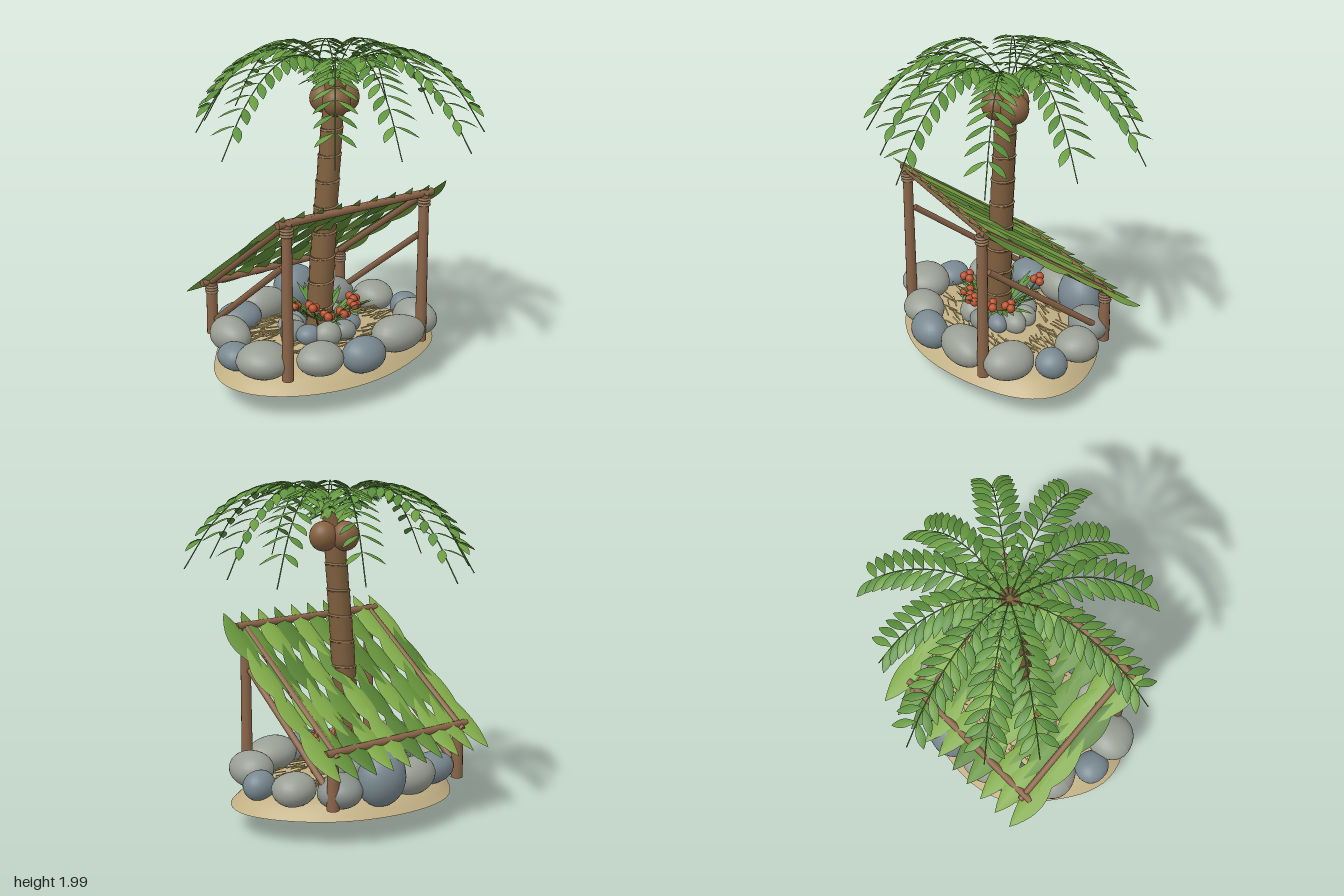
import * as THREE from 'three';
import { mergeGeometries } from 'three/addons/utils/BufferGeometryUtils.js';

const V = (x, y, z) => new THREE.Vector3(x, y, z);
const mat = (color, side = THREE.FrontSide) => new THREE.MeshStandardMaterial({ color, side });
const M = {
  sand: mat(0xc2b085, THREE.DoubleSide), straw: mat(0xd8be7a), bark: mat(0x80603f), ring: mat(0xa5835c),
  wood: mat(0x8a6448), rope: mat(0x8f7355), nut: mat(0x85603f), fruit: mat(0xb4512f),
  stone: [mat(0x9a9f95), mat(0x798890), mat(0x8a918d)],
  leaf: [0x5f9440, 0x6b9c42, 0x578a3a].map(c => mat(c, THREE.DoubleSide)),
  thatch: [0x558033, 0x638f38, 0x7fa847].map(c => mat(c, THREE.DoubleSide)),
};
let seed = 7;
const rnd = () => (seed = (seed * 16807) % 2147483647) / 2147483647;

function add(parent, name, geo, material) {
  const m = new THREE.Mesh(geo, material);
  m.name = name;
  parent.add(m);
  return m;
}

// round pole between two points
function pole(parent, name, a, b, r0, r1 = r0, material = M.wood) {
  const m = add(parent, name, new THREE.CylinderGeometry(r1, r0, a.distanceTo(b), 14), material);
  m.position.copy(a).lerp(b, 0.5);
  m.quaternion.setFromUnitVectors(V(0, 1, 0), b.clone().sub(a).normalize());
  return m;
}

// pointed blade along +z, folded along its midrib and drooping to the tip; power > 1 moves the belly outward
function blade(length, width, fold, droop, power = 1) {
  const g = new THREE.PlaneGeometry(1, 1, 2, 10).rotateX(-Math.PI / 2);
  const p = g.attributes.position;
  for (let i = 0; i < p.count; i++) {
    const t = p.getZ(i) + 0.5, u = p.getX(i) * 2;
    const w = Math.pow(Math.max(0, Math.sin(Math.PI * Math.pow(t, power))), 0.9);
    p.setXYZ(i, u * w * width / 2, -Math.abs(u) * w * fold - droop * t * t, t * length);
  }
  g.computeVertexNormals();
  return g;
}

// move a blade to a root point, pointing forward with a given upper side
function place(geo, root, forward, up) {
  const f = forward.clone().normalize();
  const r = up.clone().cross(f).normalize();
  return geo.applyMatrix4(new THREE.Matrix4().makeBasis(r, f.clone().cross(r), f).setPosition(root));
}

function addBlades(parent, name, buckets, materials) {
  buckets.forEach((list, i) => list.length && add(parent, name, mergeGeometries(list), materials[i]));
}

// smooth stone: a sphere with gentle bumps
function rock(parent, x, y, z, rx, ry, rz, kind, name = 'rock') {
  const g = new THREE.SphereGeometry(1, 24, 16);
  const p = g.attributes.position, k = rnd() * 6, v = V(0, 0, 0);
  for (let i = 0; i < p.count; i++) {
    v.fromBufferAttribute(p, i);
    v.multiplyScalar(1 + 0.06 * Math.sin(2.3 * v.x + k) + 0.05 * Math.sin(2.9 * v.z + 2 * k) - 0.04 * v.y * v.x);
    p.setXYZ(i, v.x * rx, v.y * ry, v.z * rz);
  }
  g.computeVertexNormals();
  add(parent, name, g, M.stone[kind]).position.set(x, y, z);
}

function island(parent) {
  const top = [[1, 0.15], [0.95, 0.18], [0.89, 0.215], [0.82, 0.24], [0.6, 0.26], [0.35, 0.285], [0.001, 0.3]];
  const g = new THREE.LatheGeometry(top.map(q => new THREE.Vector2(...q)), 64);
  const p = g.attributes.position;
  for (let i = 0; i < p.count; i++) {
    // the rim bulges to the front right, is cut short opposite, and nicked at the back right
    const a = Math.atan2(p.getZ(i), p.getX(i)), b = a - Math.PI * 0.75;
    const k = 0.985 + 0.04 * (Math.cos(b) + Math.cos(3 * b)) + 0.01 * Math.sin(5 * a) - 0.05 * Math.exp(-6 * (a + 2.5) ** 2);
    p.setXYZ(i, p.getX(i) * 0.745 * k - 0.022, p.getY(i), p.getZ(i) * 0.56 * k);
  }
  g.computeVertexNormals();
  add(parent, 'sandTop', g, M.sand);

  const bowl = [[0.001, 0], [0.3, 0.012], [0.58, 0.035], [0.8, 0.075], [0.94, 0.13], [1, 0.19], [0.9, 0.24]];
  const b = add(parent, 'sandBase', new THREE.LatheGeometry(bowl.map(q => new THREE.Vector2(...q)), 48), M.sand);
  b.scale.set(0.47, 1, 0.35);
  b.position.set(-0.035, 0, 0.02);
  rock(parent, -0.05, 0.02, 0.05, 0.025, 0.015, 0.02, 1, 'pebble');
  rock(parent, 0.04, 0.045, -0.17, 0.02, 0.015, 0.02, 1, 'pebble');

  // ring of boulders: x, y, z, rx, ry, rz, colour
  [[-0.6, 0.32, 0.27, 0.165, 0.1, 0.14, 0], [-0.32, 0.31, 0.42, 0.145, 0.09, 0.12, 0],
    [-0.065, 0.3, 0.5, 0.13, 0.11, 0.115, 1], [0.25, 0.33, 0.41, 0.175, 0.105, 0.13, 0],
    [0.5, 0.32, 0.27, 0.13, 0.105, 0.14, 0], [0.6, 0.295, 0.05, 0.09, 0.09, 0.1, 1],
    [0.52, 0.31, -0.17, 0.12, 0.1, 0.14, 0], [0.35, 0.31, -0.38, 0.13, 0.1, 0.13, 2],
    [0.11, 0.36, -0.45, 0.14, 0.165, 0.14, 1], [-0.14, 0.32, -0.44, 0.15, 0.11, 0.11, 0],
    [-0.37, 0.31, -0.36, 0.14, 0.1, 0.12, 1], [-0.55, 0.31, -0.17, 0.12, 0.1, 0.14, 0],
    [-0.65, 0.28, 0.05, 0.11, 0.08, 0.1, 1]].forEach(r => rock(parent, ...r));

  // small stones round the palm
  for (let i = 0; i < 10; i++) {
    const a = i * Math.PI / 5, s = 0.055 + 0.02 * rnd();
    rock(parent, -0.05 + 0.19 * Math.cos(a), 0.325, 0.035 + 0.16 * Math.sin(a), s * 1.2, s, s * 1.1, i % 3, 'innerStone');
  }
  // straw scattered between the stones
  const sticks = [];
  for (let i = 0; i < 110; i++) {
    const a = rnd() * 6.283, r = 0.28 + 0.14 * rnd();
    sticks.push(new THREE.BoxGeometry(0.12, 0.005, 0.007).rotateY(rnd() * 0.8 - 0.4)
      .translate(-0.03 + r * Math.cos(a) * 1.1, 0.283 + 0.015 * rnd(), 0.02 + r * Math.sin(a) * 0.8));
  }
  add(parent, 'straw', mergeGeometries(sticks), M.straw);
}

function shelter(parent) {
  const slope = z => 1.21 + (z - 0.47) * 0.713;
  for (const x of [-0.53, 0.43]) {
    pole(parent, 'frontPost', V(x, 0.23, 0.4), V(x, 1.15, 0.4), 0.034, 0.029);
    pole(parent, 'backPost', V(x, 0.23, -0.42), V(x, 0.56, -0.42), 0.036, 0.032);
    pole(parent, 'rafter', V(x, slope(0.42) - 0.012, 0.42), V(x, slope(-0.46) - 0.012, -0.46), 0.02);
    pole(parent, 'sideBrace', V(x, 0.89, 0.36), V(x, 0.335, -0.37), 0.019);
    for (let i = 0; i < 3; i++) {
      for (const [y, z] of [[1.085, 0.4], [0.5, -0.42]]) {
        const t = add(parent, 'lashing', new THREE.TorusGeometry(0.032, 0.008, 8, 18), M.rope);
        t.rotation.x = Math.PI / 2;
        t.position.set(x, y + i * 0.017, z);
      }
    }
  }
  pole(parent, 'frontBeam', V(-0.59, 1.152, 0.4), V(0.49, 1.152, 0.4), 0.023);
  pole(parent, 'backBeam', V(-0.59, 0.56, -0.43), V(0.49, 0.56, -0.43), 0.023);

  // four rows of ten broad leaves, overlapping like shingles
  const buckets = [[], [], []], down = V(0, -0.713, -1).normalize(), up = V(0, 1, -0.713);
  for (let row = 0; row < 4; row++) {
    for (let col = 0; col < 10; col++) {
      const len = 0.45 + 0.03 * rnd(), zc = 0.285 - row * 0.238;
      const root = V(-0.59 + col * 0.1245, slope(zc) + 0.013 + 0.004 * (col % 2), zc).addScaledVector(down, -len / 2);
      const tilt = up.clone().add(V(0.3 * (rnd() - 0.5), 0, 0));
      buckets[Math.floor(rnd() * 3)].push(place(blade(len, 0.142, 0.024, 0), root, down, tilt));
    }
  }
  addBlades(parent, 'roofLeaves', buckets, M.thatch);
}

function palm(parent) {
  // leaning ringed trunk
  const axis = y => V(-0.06 + 0.12 * Math.pow((y - 0.3) / 1.5, 1.25), y, 0.035);
  const radius = y => 0.081 - 0.02 * (y - 0.3) / 1.5;
  for (let i = 0; i < 10; i++) {
    const y0 = 0.3 + i * 0.153, y1 = y0 + 0.153, a = axis(y0), b = axis(y1);
    pole(parent, 'trunk', a, b, radius(y0) - 0.003, radius(y1) + 0.001, M.bark);
    const t = add(parent, 'trunkRing', new THREE.TorusGeometry(radius(y1) - 0.001, 0.006, 8, 24), M.ring);
    t.position.copy(b);
    t.rotation.set(Math.PI / 2 + 0.08 * (rnd() - 0.5), 0.08, 0);
  }
  const c = V(0.06, 1.8, 0.03);
  for (let i = 0; i < 3; i++) {
    const a = i * Math.PI * 2 / 3;
    const n = add(parent, 'coconut', new THREE.SphereGeometry(0.08, 24, 16), M.nut);
    n.position.set(c.x + 0.073 * Math.cos(a), 1.69, c.z + 0.073 * Math.sin(a));
    n.scale.set(1.04, 1.08, 1);
  }

  // fronds: heading in degrees, reach
  [[0, 0.74], [-31, 0.85], [-64, 0.75], [-98, 0.9], [-126, 0.82], [-147, 0.8], [168, 0.89],
    [126, 0.82], [98, 0.75], [70, 0.885], [37, 0.86]].forEach(([deg, reach]) => {
    const frond = new THREE.Group();
    frond.name = 'frond';
    parent.add(frond);
    const a = deg * Math.PI / 180, d = V(Math.cos(a), 0, Math.sin(a)), s = V(-Math.sin(a), 0, Math.cos(a));
    const curve = new THREE.CatmullRomCurve3([1.81, 1.945, 1.985, 1.92, 1.765, 1.5]
      .map((y, i) => V(c.x, y, c.z).addScaledVector(d, i / 5 * reach)));
    add(frond, 'frondStem', new THREE.TubeGeometry(curve, 28, 0.0035, 6), M.leaf[0]);
    // nearly level leaflets whose tips hang
    const buckets = [[], [], []];
    for (let i = 0; i < 13; i++) {
      const t = 0.06 + i * 0.068, root = curve.getPoint(t);
      const len = 0.15 * (0.8 + 0.22 * Math.sin(Math.PI * t));
      for (const e of [-1, 1]) {
        const f = d.clone().multiplyScalar(0.62).addScaledVector(s, e * 0.79).add(V(0, 0.1, 0));
        buckets[(i + (e > 0 ? 1 : 0)) % 3].push(place(blade(len, 0.05, 0.008, 0.07, 1.15), root, f, V(0, 1, 0)));
      }
    }
    addBlades(frond, 'leaflets', buckets, M.leaf);
  });
}

function berryPlants(parent) {
  const buckets = [[], [], []];
  for (let i = 0; i < 42; i++) {
    const a = i * 2.4, d = V(Math.cos(a), 0, Math.sin(a)), len = 0.16 + 0.08 * rnd();
    const root = V(-0.03, 0.37, 0.04).addScaledVector(d, 0.08);
    buckets[i % 3].push(place(blade(len, 0.03, 0.005, 0.05), root,
      d.clone().add(V(0, 0.5 + 1.1 * rnd(), 0)), V(0, 1, 0)));
  }
  addBlades(parent, 'plantLeaves', buckets, M.leaf);
  // berry clusters on thin stalks
  [[-0.2, 0.515, 0.17], [-0.12, 0.455, 0.21], [-0.02, 0.455, 0.23], [0.12, 0.565, -0.14],
    [0.16, 0.46, 0.08], [0.1, 0.46, 0.17], [-0.2, 0.46, -0.02]].forEach(([x, y, z]) => {
    pole(parent, 'berryStalk', V(-0.03 + (x + 0.03) * 0.4, 0.33, 0.035 + (z - 0.035) * 0.4), V(x, y, z), 0.005, 0.004, M.leaf[2]);
    for (let k = 0; k < 3; k++) {
      const b = add(parent, 'berry', new THREE.SphereGeometry(0.026, 14, 10), M.fruit);
      b.position.set(x + 0.022 * Math.cos(k * 2.1), y + 0.008 * (k - 1), z + 0.022 * Math.sin(k * 2.1));
    }
  });
}

export function createModel() {
  const model = new THREE.Group();
  model.name = 'palmIslandShelter';
  for (const [name, build] of Object.entries({ island, shelter, palm, berryPlants })) {
    const part = new THREE.Group();
    part.name = name;
    build(part);
    model.add(part);
  }
  return model;
}
